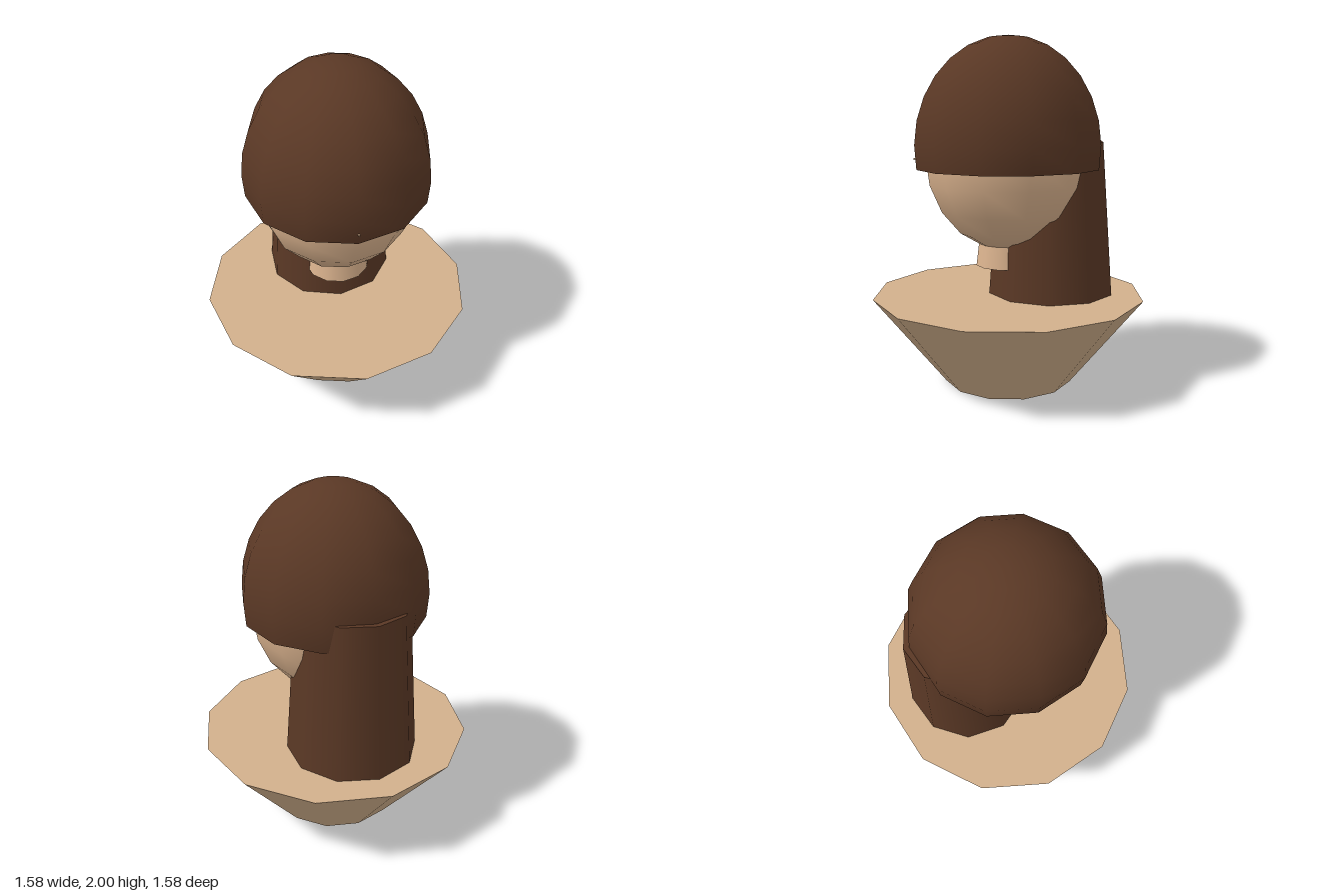
import * as THREE from 'three';

const mat = (name, color, side = THREE.FrontSide) => {
  const m = new THREE.MeshStandardMaterial({ color, side });
  m.name = name;
  return m;
};

export function createModel() {
  const group = new THREE.Group();
  const skin = mat('skin', 0xdcb48f);
  const tan = mat('tan base', 0xd2b08c);
  const hair = mat('brown hair', 0x5a3825, THREE.DoubleSide);

  const add = (name, geometry, material, x, y, z) => {
    const mesh = new THREE.Mesh(geometry, material);
    mesh.name = name;
    mesh.position.set(x, y, z);
    group.add(mesh);
    return mesh;
  };

  // Flared twelve-sided shoulders that stand on the ground
  add('shoulders', new THREE.CylinderGeometry(0.79, 0.375, 0.515, 12), tan, 0, 0.2575, 0);

  // Short neck, ending above the shoulders
  add('neck', new THREE.CylinderGeometry(0.17, 0.19, 0.165, 12), skin, 0, 0.7675, 0);

  // Egg-shaped head
  add('head', new THREE.SphereGeometry(1, 12, 10), skin, 0, 1.33, 0).scale.set(0.48, 0.56, 0.48);

  // Nose, its tip just showing through the fringe
  add('nose', new THREE.ConeGeometry(0.04, 0.12, 8), skin, 0, 1.31, 0.493).rotation.x = Math.PI / 2;

  // Open cap of hair over the head
  const cap = new THREE.SphereGeometry(1, 12, 8, 0, Math.PI * 2, 0, Math.PI * 0.562);
  add('hairCap', cap, hair, 0, 1.37, 0).scale.set(0.525, 0.63, 0.54);

  // Long hair hanging down the back
  add('backHair', new THREE.CylinderGeometry(0.31, 0.375, 0.89, 10), hair, 0, 0.955, -0.26);

  return group;
}
